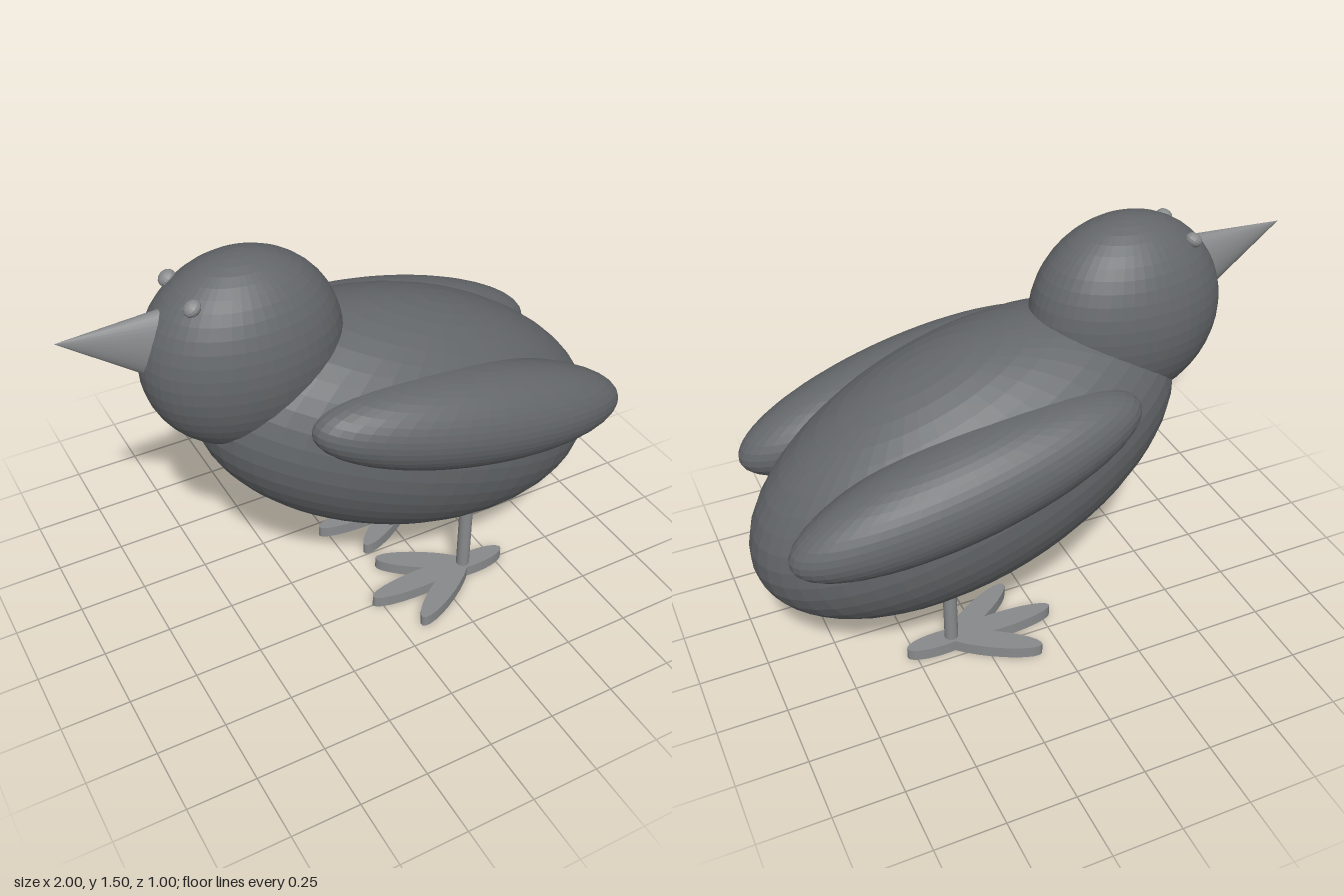
import * as THREE from 'three';

const plumage = new THREE.MeshStandardMaterial({ color: 0x64676a, flatShading: true });
const eyeGrey = new THREE.MeshStandardMaterial({ color: 0x888a8b, flatShading: true });
const horn = new THREE.MeshStandardMaterial({ color: 0x888a8b });

// Ellipsoid with its poles along y, tilted about z
function ellipsoid(name, position, radii, tilt = 0, segments = 48, material = plumage) {
  const mesh = new THREE.Mesh(new THREE.SphereGeometry(1, segments, segments / 2), material);
  mesh.name = name;
  mesh.position.set(...position);
  mesh.scale.set(...radii);
  mesh.rotation.z = THREE.MathUtils.degToRad(tilt);
  return mesh;
}

// Flat leaf-shaped toe reaching from just behind the ankle towards -x, turned about y
function toe(name, reach, overlap, width, angle) {
  const geometry = new THREE.CylinderGeometry(1, 1, 0.045, 24);
  geometry.scale((reach + overlap) / 2, 1, width / 2);
  geometry.translate((overlap - reach) / 2, 0.0225, 0);
  geometry.rotateY(THREE.MathUtils.degToRad(angle));
  const mesh = new THREE.Mesh(geometry, horn);
  mesh.name = name;
  return mesh;
}

// Leg with three forward toes and a short back toe; origin at the ankle
function leg(name, x, z) {
  const group = new THREE.Group();
  group.name = name;
  group.position.set(x, 0, z);
  const shank = new THREE.Mesh(new THREE.CylinderGeometry(0.025, 0.025, 0.48, 20), horn);
  shank.name = 'shank';
  shank.position.y = 0.26;
  group.add(
    shank,
    toe('middleToe', 0.395, 0.03, 0.085, 0),
    toe('outerToe', 0.335, 0.03, 0.085, 32),
    toe('innerToe', 0.335, 0.03, 0.085, -32),
    toe('backToe', 0.172, 0.08, 0.075, 180)
  );
  return group;
}

export function createModel() {
  const bird = new THREE.Group();
  bird.name = 'bird';

  bird.add(
    ellipsoid('body', [0.215, 0.695, 0], [0.826, 0.442, 0.432], -21),
    ellipsoid('head', [-0.395, 1.15, 0], [0.35, 0.35, 0.248])
  );

  // Beak: narrow cone with its tip at x = -1
  const geometry = new THREE.ConeGeometry(0.16, 0.44, 32);
  geometry.translate(0, -0.22, 0);
  geometry.scale(1, 1, 0.42);
  geometry.rotateZ(THREE.MathUtils.degToRad(90 - 17));
  const beak = new THREE.Mesh(geometry, horn);
  beak.name = 'beak';
  beak.position.set(-1, 1.355, 0);
  bird.add(beak);

  // Paired eyes and wings
  for (const side of [1, -1]) {
    const label = side > 0 ? 'near' : 'far';
    bird.add(
      ellipsoid(label + 'Eye', [-0.593, 1.412, side * 0.1], [0.031, 0.024, 0.028], 35, 16, eyeGrey),
      ellipsoid(label + 'Wing', [0.32, 0.822, side * 0.31], [0.638, 0.182, 0.19], -13.2)
    );
  }

  bird.add(leg('nearLeg', 0.36, 0.25), leg('farLeg', 0.36, -0.185));
  return bird;
}
